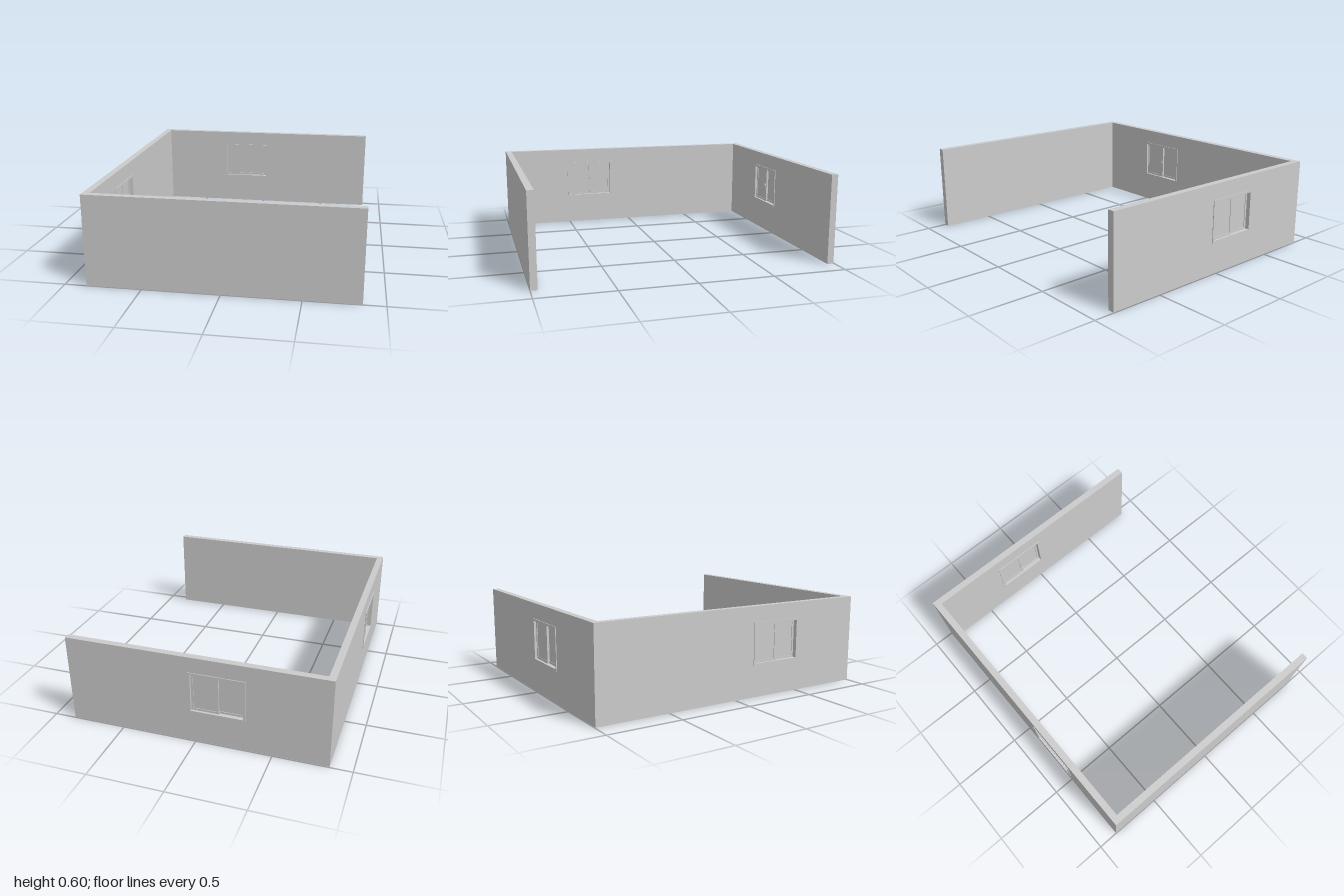
import * as THREE from 'three';

const material = new THREE.MeshStandardMaterial({ color: 0xcccccc, flatShading: true });
const H = 0.6, T = 0.045;
const OPEN = { w: 0.34, h: 0.256, y: 0.353 };

function add(parent, name, geometry, x = 0, y = 0, z = 0) {
  const mesh = new THREE.Mesh(geometry, material);
  mesh.name = name;
  mesh.position.set(x, y, z);
  parent.add(mesh);
  return mesh;
}

function rect(path, x0, y0, x1, y1) {
  path.moveTo(x0, y0);
  path.lineTo(x1, y0);
  path.lineTo(x1, y1);
  path.lineTo(x0, y1);
  path.closePath();
  return path;
}

// Upright slab centred on z = 0 with one rectangular hole
function holedSlab(outer, hole, depth) {
  const shape = rect(new THREE.Shape(), ...outer);
  shape.holes.push(rect(new THREE.Path(), ...hole));
  return new THREE.ExtrudeGeometry(shape, { depth, bevelEnabled: false }).translate(0, 0, -depth / 2);
}

function ring(w, h, border, depth) {
  const a = w / 2, b = h / 2;
  return holedSlab([-a, -b, a, b], [-a + border, -b + border, a - border, b - border], depth);
}

// Sliding window; the room side is +z
function createWindow() {
  const win = new THREE.Group();
  win.name = 'slidingWindow';
  add(win, 'windowFrame', ring(OPEN.w + 0.03, OPEN.h + 0.03, 0.015, T + 0.01));
  const sashW = OPEN.w / 2 + 0.008;
  for (const side of [-1, 1]) {
    const x = side * (OPEN.w - sashW) / 2, z = -side * 0.006;
    add(win, 'sash', ring(sashW, OPEN.h, 0.014, 0.011), x, 0, z);
    add(win, 'pane', new THREE.BoxGeometry(sashW - 0.026, OPEN.h - 0.026, 0.003), x, 0, z);
  }
  // Latch on the room side of the meeting stiles
  add(win, 'latchBase', new THREE.BoxGeometry(0.008, 0.024, 0.006), 0, 0, 0.0145);
  add(win, 'latchLever', new THREE.BoxGeometry(0.005, 0.014, 0.006), 0, 0.004, 0.02);
  return win;
}

// Wall with a window at local x = windowX
function createWindowWall(name, x0, x1, windowX) {
  const wall = new THREE.Group();
  wall.name = name;
  const a = OPEN.w / 2, b = OPEN.h / 2;
  add(wall, name + 'Panel', holedSlab([x0, 0, x1, H],
    [windowX - a, OPEN.y - b, windowX + a, OPEN.y + b], T));
  const win = createWindow();
  win.position.set(windowX, OPEN.y, 0);
  wall.add(win);
  return wall;
}

export function createModel() {
  const model = new THREE.Group();
  model.name = 'roomWalls';
  const left = -0.857, right = 0.86, back = -0.995, front = 1;

  add(model, 'frontWall', new THREE.BoxGeometry(right - left, H, T), (left + right) / 2, H / 2, front - T / 2);

  const backWall = createWindowWall('backWall', left, right, -0.145);
  backWall.position.z = back + T / 2;
  model.add(backWall);

  // Side wall runs between the other two; its local +x points to -z
  const sideWall = createWindowWall('sideWall', -front + T, -back - T, -0.325);
  sideWall.rotation.y = Math.PI / 2;
  sideWall.position.x = left + T / 2;
  model.add(sideWall);

  return model;
}
